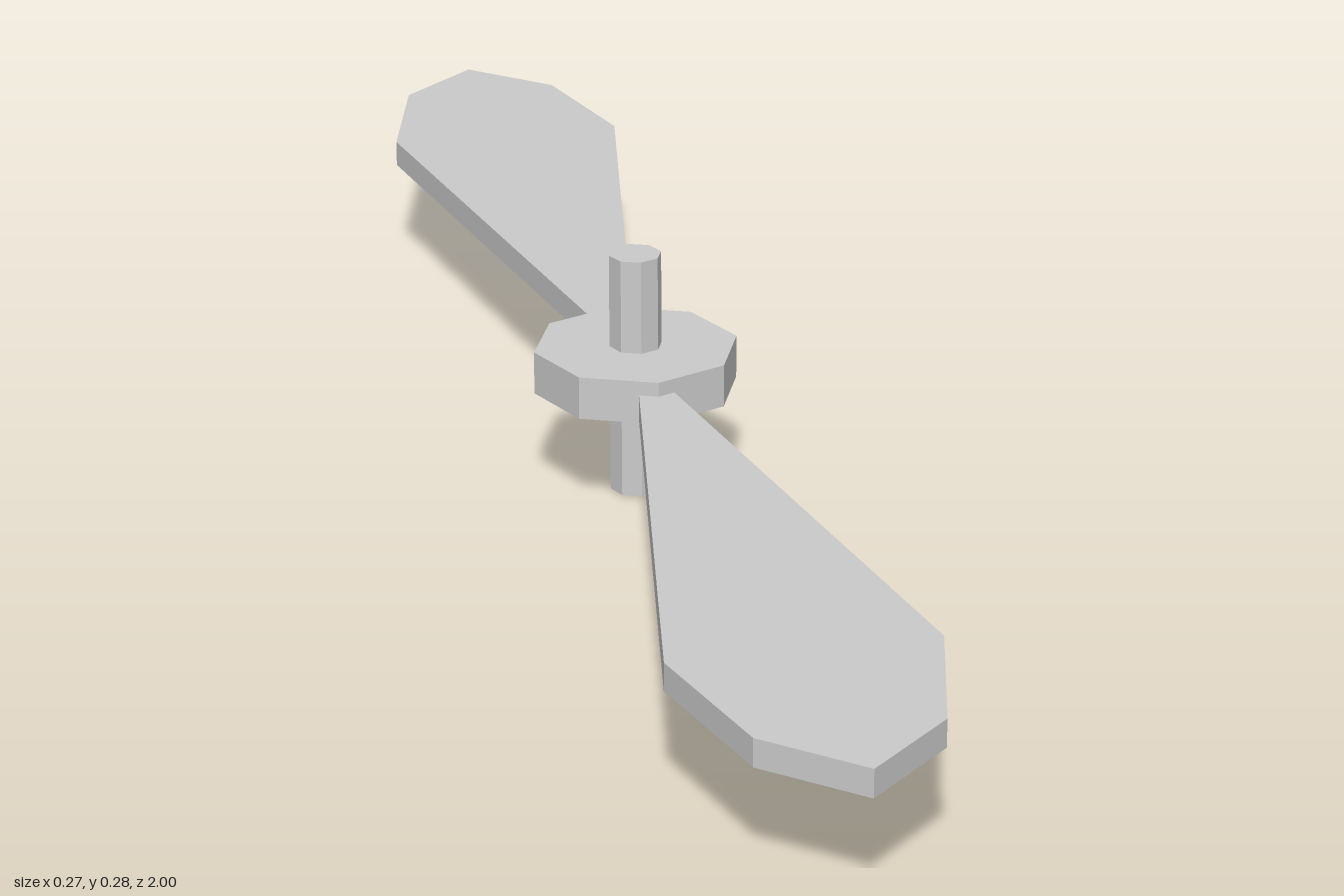
import * as THREE from 'three';

export function createModel() {
  const group = new THREE.Group();
  const material = new THREE.MeshStandardMaterial({ color: 0xcccccc, flatShading: true });

  const add = (name, geometry, y) => {
    const mesh = new THREE.Mesh(geometry, material);
    mesh.name = name;
    mesh.position.y = y;
    group.add(mesh);
    return mesh;
  };

  // Slim upright shaft, leaning very slightly
  const shaft = add('shaft', new THREE.CylinderGeometry(0.029, 0.029, 0.275, 8), 0.1375);
  shaft.rotation.z = 0.006;

  // Octagonal hub
  add('hub', new THREE.CylinderGeometry(0.113, 0.113, 0.048, 8), 0.145);

  // Flat blade outline: narrow root, wide paddle, pointed tip
  const half = [[0.013, 0.07], [0.137, 0.747], [0.092, 0.917]];
  const outline = [
    ...half,
    [0, 1],
    ...half.map(([x, r]) => [-x, r]).reverse(),
  ].map(([x, r]) => new THREE.Vector2(x, r));
  const blade = new THREE.ExtrudeGeometry(new THREE.Shape(outline), { depth: 0.03, bevelEnabled: false });
  blade.rotateX(-Math.PI / 2);

  // Two opposite blades
  ['backBlade', 'frontBlade'].forEach((name, i) => {
    add(name, blade, 0.123).rotation.y = i * Math.PI;
  });

  return group;
}
